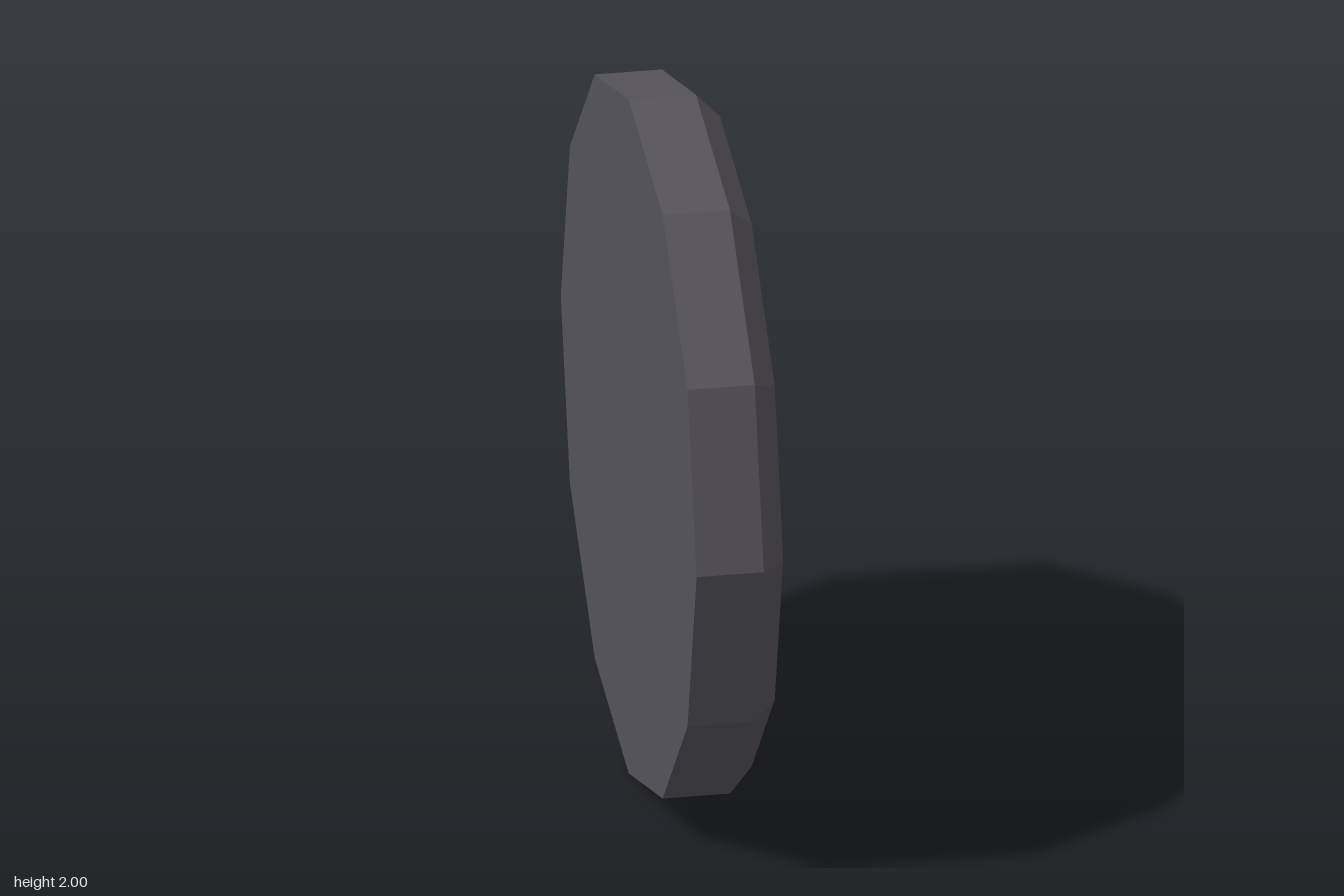
import * as THREE from 'three';

const mat = (name, color) => {
  const m = new THREE.MeshStandardMaterial({ color, flatShading: true });
  m.name = name;
  return m;
};

export function createModel() {
  const frameMat = mat('charcoal frame', 0x56535b);
  const dialMat = mat('cream dial', 0xe8e2d2);
  const darkMat = mat('dark plum', 0x2a1e2c);

  const clock = new THREE.Group();
  clock.name = 'wallClock';
  const DIAL_X = -0.015;

  const add = (name, geometry, material, parent = clock) => {
    const mesh = new THREE.Mesh(geometry, material);
    mesh.name = name;
    parent.add(mesh);
    return mesh;
  };

  // Everything is centred on the pivot, one unit above the floor
  clock.position.y = 1;

  // Twelve-sided case: back, rim, bevel, flat front ring and recess wall
  const profile = [
    [0, -0.14], [1, -0.14], [1, 0.047], [0.93, 0.114], [0.835, 0.114], [0.835, DIAL_X],
  ].map(([r, x]) => new THREE.Vector2(r, x));
  add('frame', new THREE.LatheGeometry(profile, 12).rotateZ(-Math.PI / 2), frameMat);

  // Recessed dial facing +x
  const dial = add('dial', new THREE.CircleGeometry(0.835, 12).rotateY(Math.PI / 2), dialMat);
  dial.position.x = DIAL_X;

  // Hour marks
  const marks = new THREE.Group();
  marks.name = 'hourMarks';
  marks.position.set(DIAL_X + 0.008, 0, -0.01);
  clock.add(marks);
  for (let i = 0; i < 12; i++) {
    const geo = new THREE.BoxGeometry(0.024, 0.18, 0.065).translate(0, 0.685, 0);
    add('hourMark', geo, darkMat, marks).rotation.x = (i * Math.PI) / 6;
  }

  // Pivot pin from the dial to the minute hand
  add('pivot', new THREE.CylinderGeometry(0.046, 0.046, 0.085, 10).rotateZ(Math.PI / 2), frameMat)
    .position.x = 0.025;

  // Hour hand: stem, six-sided loop and pointed tip
  const half = [[0.035, -0.01], [0.035, 0.185], [0.082, 0.235], [0.082, 0.305], [0.035, 0.355]];
  const outline = [...half, [0, 0.475], ...half.map(([x, y]) => [-x, y]).reverse()];
  const shape = new THREE.Shape(outline.map(p => new THREE.Vector2(...p)));
  const hole = [[0, 0.2], [-0.055, 0.245], [-0.055, 0.295], [0, 0.34], [0.055, 0.295], [0.055, 0.245]];
  shape.holes.push(new THREE.Path(hole.map(p => new THREE.Vector2(...p))));
  const hourGeo = new THREE.ExtrudeGeometry(shape, { depth: 0.055, bevelEnabled: false });
  add('hourHand', hourGeo.rotateY(Math.PI / 2), darkMat);

  // Minute hand: bar tapering in width and thickness towards its tip
  const minuteGeo = new THREE.BoxGeometry(1, 1, 1);
  const p = minuteGeo.attributes.position;
  for (let i = 0; i < p.count; i++) {
    const tip = p.getY(i) > 0;
    const front = p.getX(i) > 0;
    const x = front ? (tip ? 0.116 : 0.14) : (tip ? 0.078 : 0.06);
    p.setXYZ(i, x, tip ? 0.585 : -0.03, Math.sign(p.getZ(i)) * (tip ? 0.007 : 0.035));
  }
  minuteGeo.computeVertexNormals();
  add('minuteHand', minuteGeo, darkMat);

  const model = new THREE.Group();
  model.name = 'clock';
  model.add(clock);
  return model;
}
